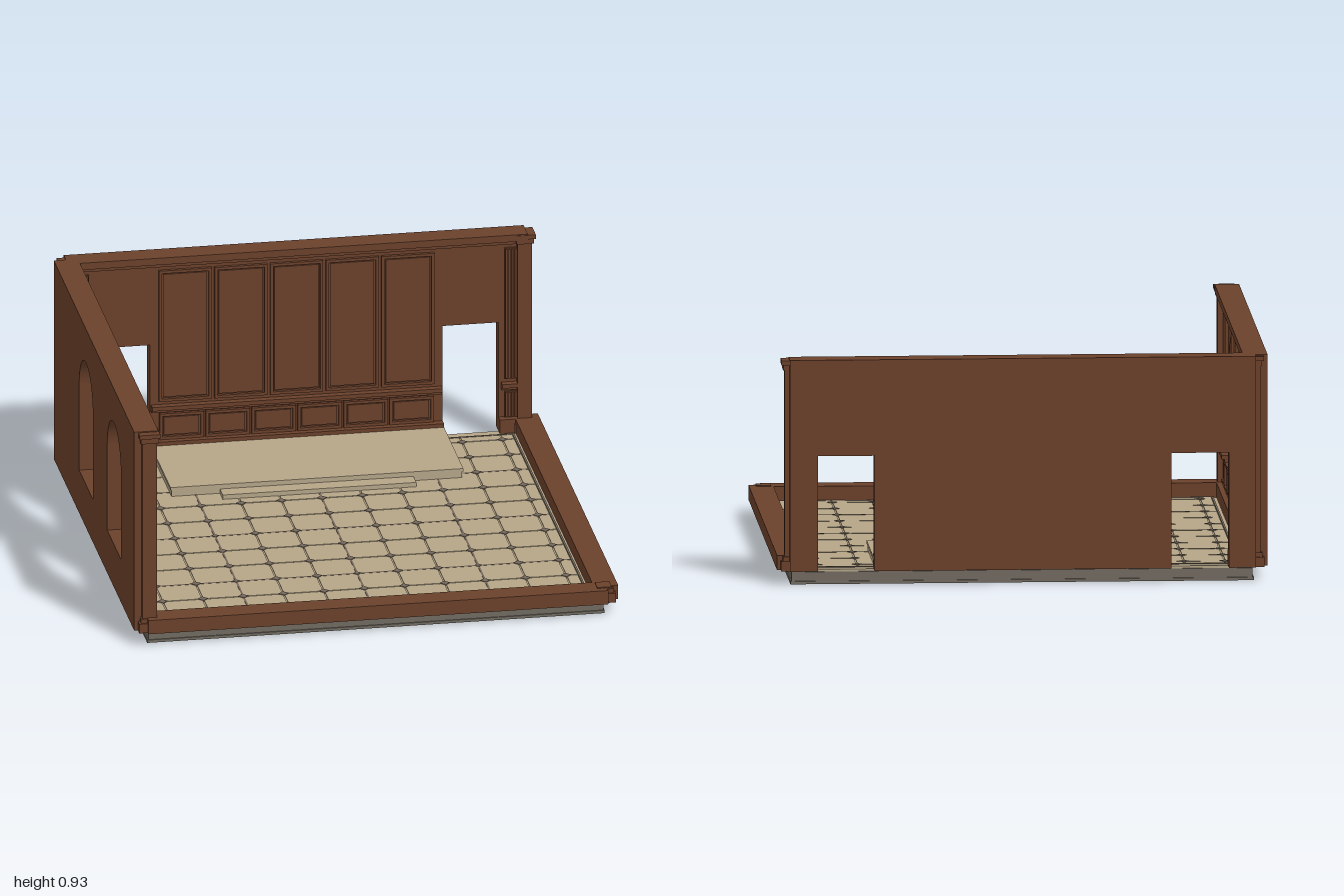
import * as THREE from 'three';

const mat = (name, color) => {
  const m = new THREE.MeshStandardMaterial({ color });
  m.name = name;
  return m;
};

export function createModel() {
  const wood = mat('brown wood', 0x6b412b);
  const tan = mat('tan stone', 0xb5a588);
  const grey = mat('grey stone', 0x716a60);
  const inlay = mat('inlay grey', 0x73675b);
  const model = new THREE.Group();
  model.name = 'panelledRoom';

  const add = (parent, name, geo, material) => {
    const mesh = new THREE.Mesh(geo, material);
    mesh.name = name;
    parent.add(mesh);
    return mesh;
  };
  // Box from its lower and upper limits
  const box = (parent, name, x0, x1, y0, y1, z0, z1, material = wood) => {
    const mesh = add(parent, name, new THREE.BoxGeometry(x1 - x0, y1 - y0, z1 - z0), material);
    mesh.position.set((x0 + x1) / 2, (y0 + y1) / 2, (z0 + z1) / 2);
    return mesh;
  };
  const group = (name) => {
    const g = new THREE.Group();
    g.name = name;
    model.add(g);
    return g;
  };
  const rect = (Type, x0, x1, y0, y1) => new Type([
    new THREE.Vector2(x0, y0), new THREE.Vector2(x1, y0),
    new THREE.Vector2(x1, y1), new THREE.Vector2(x0, y1),
  ]);
  const slab = (parent, name, shape, z0, depth) => {
    const mesh = add(parent, name,
      new THREE.ExtrudeGeometry(shape, { depth, bevelEnabled: false, curveSegments: 20 }), wood);
    mesh.position.z = z0;
    return mesh;
  };

  const FACE = -0.94;   // inner face of a wall
  const BASE = 0.06;    // floor level

  // Moulded frame with a raised field inside
  const panel = (parent, x0, x1, y0, y1) => {
    const frame = rect(THREE.Shape, x0, x1, y0, y1);
    frame.holes.push(rect(THREE.Path, x0 + 0.012, x1 - 0.012, y0 + 0.012, y1 - 0.012));
    slab(parent, 'panelMoulding', frame, FACE, 0.014);
    box(parent, 'panelField', x0 + 0.018, x1 - 0.018, y0 + 0.018, y1 - 0.018, FACE, FACE + 0.007);
  };
  const chairRail = (parent, x0, x1) => {
    box(parent, 'chairRail', x0, x1, 0.255, 0.272, FACE, FACE + 0.03);
    box(parent, 'chairRailLower', x0, x1, 0.243, 0.255, FACE, FACE + 0.018);
  };
  const cornice = (parent) => {
    box(parent, 'corniceTop', -0.95, 0.95, 0.9, 0.93, -1, -0.9);
    box(parent, 'corniceStep', -0.95, 0.95, 0.883, 0.9, FACE, -0.917);
  };

  // Back wall with two doorways
  const back = group('backWall');
  const outline = [
    [-0.95, BASE], [-0.84, BASE], [-0.84, 0.535], [-0.605, 0.535], [-0.605, BASE],
    [0.605, BASE], [0.605, 0.535], [0.835, 0.535], [0.835, BASE], [0.95, BASE],
    [0.95, 0.92], [-0.95, 0.92],
  ].map(([x, y]) => new THREE.Vector2(x, y));
  slab(back, 'backWallBoard', new THREE.Shape(outline), -1, 0.06);
  cornice(back);
  for (const [a, b] of [[-0.95, -0.84], [-0.605, 0.605], [0.835, 0.95]]) {
    box(back, 'baseboard', a, b, BASE, 0.12, FACE, -0.905);
  }
  for (let i = 0; i < 5; i++) {
    const x = -0.575 + i * 0.23;
    panel(back, x + 0.006, x + 0.224, 0.288, 0.862);
  }
  for (let i = 0; i < 6; i++) {
    const x = -0.57 + i * 0.19;
    panel(back, x + 0.004, x + 0.186, 0.122, 0.235);
  }
  chairRail(back, -0.6, 0.6);

  // Fluted pilasters beside the doorways
  for (const s of [-1, 1]) {
    const c = s * 0.892;
    for (const [y0, y1] of [[0.12, 0.235], [0.288, 0.862]]) {
      box(back, 'pilaster', c - 0.034, c + 0.034, y0, y1, FACE, FACE + 0.008);
      for (let i = -2; i <= 2; i++) {
        box(back, 'pilasterReed', c + i * 0.013 - 0.004, c + i * 0.013 + 0.004,
          y0 + 0.004, y1 - 0.004, FACE, FACE + 0.016);
      }
    }
    chairRail(back, c - 0.045, c + 0.045);
  }

  // Side wall with two arched windows, built facing front and then turned
  const side = group('windowWall');
  const board = rect(THREE.Shape, -0.95, 0.95, BASE, 0.92);
  for (const c of [-0.475, 0.188]) {
    const hole = new THREE.Path();
    hole.moveTo(c - 0.162, 0.248);
    hole.lineTo(c + 0.162, 0.248);
    hole.lineTo(c + 0.162, 0.62);
    hole.absarc(c, 0.62, 0.162, 0, Math.PI, false);
    hole.lineTo(c - 0.162, 0.248);
    board.holes.push(hole);
  }
  slab(side, 'windowWallBoard', board, -1, 0.06);
  cornice(side);
  box(side, 'baseboard', -0.95, 0.95, BASE, 0.12, FACE, -0.905);
  for (const [a, b] of [[-0.93, -0.67], [-0.285, -0.008], [0.378, 0.642], [0.656, 0.922]]) {
    panel(side, a, b, 0.288, 0.862);
  }
  for (let i = 0; i < 10; i++) {
    const x = -0.932 + i * 0.1865;
    panel(side, x + 0.004, x + 0.182, 0.122, 0.235);
  }
  for (const [a, b] of [[-0.94, -0.64], [-0.31, 0.024], [0.352, 0.94]]) chairRail(side, a, b);
  side.rotation.y = Math.PI / 2;

  // Low sills along the open sides
  const sills = group('lowSills');
  box(sills, 'frontSill', -0.95, 0.95, BASE, 0.12, 0.9, 1);
  box(sills, 'sideSill', 0.9, 1, BASE, 0.12, -0.95, 0.95);

  // Corner posts with stepped bases and capitals
  const posts = group('cornerPosts');
  for (const [x, z, tall] of [[-0.94, -0.94, 1], [0.94, -0.94, 1], [-0.94, 0.94, 1], [0.94, 0.94, 0]]) {
    const block = (name, r, y0, y1) => box(posts, name, x - r, x + r, y0, y1, z - r, z + r);
    block('postBase', 0.045, BASE, 0.1);
    block('postBaseTop', 0.037, 0.1, 0.118);
    block('postShaft', 0.03, 0.1, tall ? 0.9 : 0.124);
    if (tall) {
      block('postCapital', 0.036, 0.885, 0.91);
      block('postCap', 0.043, 0.908, 0.926);
    }
  }

  // Foundation and floor
  const floor = group('floor');
  box(floor, 'foundation', -0.945, 0.945, 0, 0.012, -0.945, 0.945, grey);
  box(floor, 'foundationSlab', -0.94, 0.94, 0.012, 0.05, -0.94, 0.94, grey);
  box(floor, 'floorBed', -0.935, 0.935, 0.05, 0.06, -0.935, 0.935, tan);

  // Tiles with narrow joints
  const lines = [-0.885];
  for (let i = -5; i <= 5; i++) lines.push(i / 6);
  lines.push(0.885);
  for (let i = 0; i < 12; i++) {
    for (let j = 0; j < 12; j++) {
      box(floor, 'floorTile', lines[i] + 0.003, lines[i + 1] - 0.003, 0.058, 0.063,
        lines[j] + 0.003, lines[j + 1] - 0.003, tan);
    }
  }

  // Inlaid bands, border and diamonds
  for (const p of [-0.5, 0, 0.5]) {
    box(floor, 'inlayBand', -0.88, 0.88, 0.06, 0.064, p - 0.004, p + 0.004, inlay);
    box(floor, 'inlayBand', p - 0.004, p + 0.004, 0.06, 0.0642, -0.88, 0.88, inlay);
  }
  for (const s of [-0.888, 0.888]) {
    box(floor, 'inlayBorder', -0.892, 0.892, 0.06, 0.064, s - 0.004, s + 0.004, inlay);
    box(floor, 'inlayBorder', s - 0.004, s + 0.004, 0.06, 0.0642, -0.892, 0.892, inlay);
  }
  for (let i = -5; i <= 5; i++) {
    for (let j = -5; j <= 5; j++) {
      const r = i % 3 === 0 && j % 3 === 0 ? 0.016 : 0.021;
      const d = add(floor, 'inlayDiamond', new THREE.CylinderGeometry(r, r, 0.006, 4), inlay);
      d.position.set(i / 6, 0.0625, j / 6);
    }
  }

  // Platform and its step
  const platform = group('platform');
  box(platform, 'platformBase', -0.6, 0.6, 0.06, 0.092, -0.935, -0.455, tan);
  box(platform, 'platformTop', -0.605, 0.605, 0.092, 0.104, -0.935, -0.45, tan);
  box(platform, 'platformStep', -0.4, 0.4, 0.06, 0.082, -0.46, -0.388, tan);

  return model;
}
